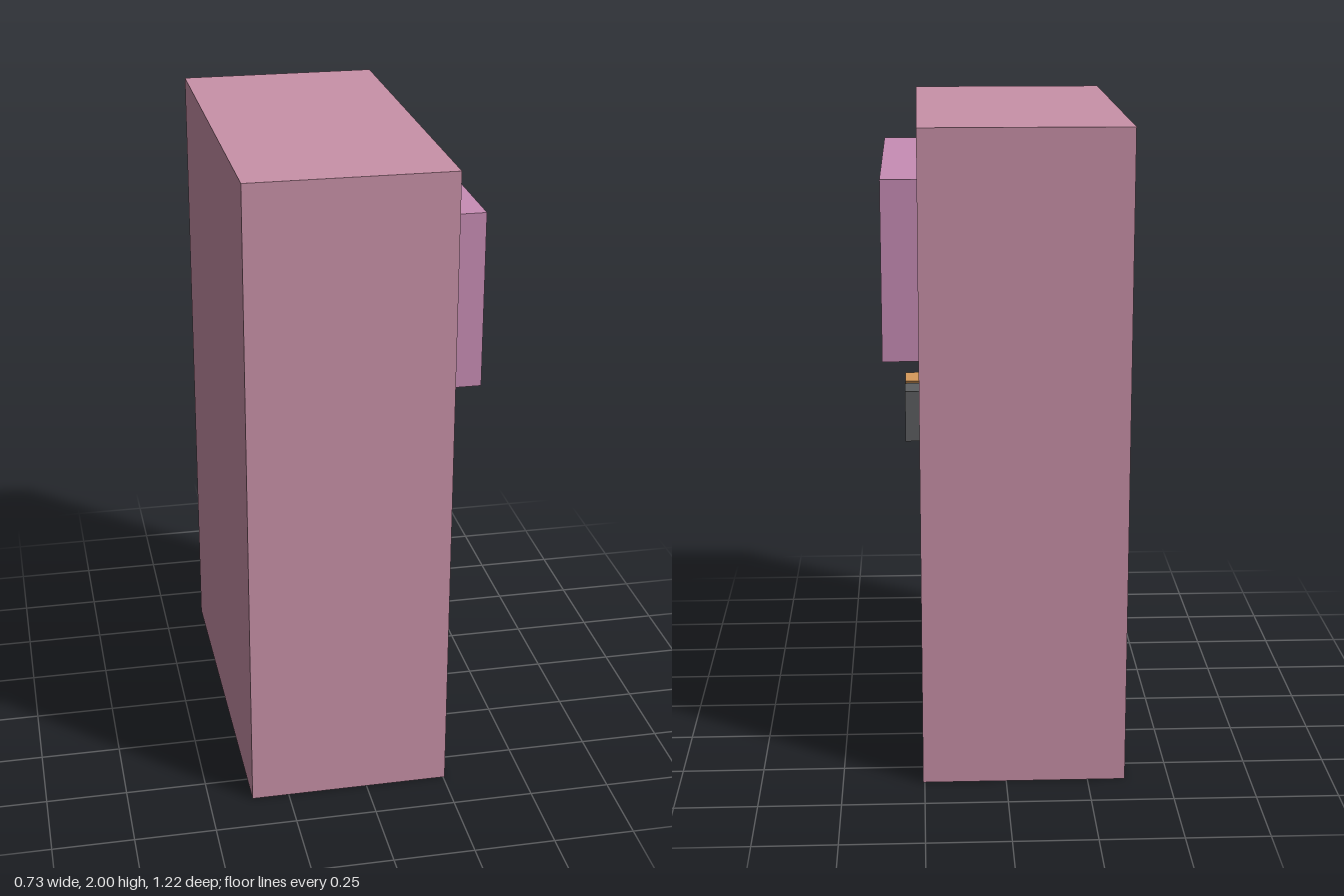
import * as THREE from 'three';

const mat = (color) => new THREE.MeshStandardMaterial({ color, flatShading: true });
const COL = {
  body: mat(0xc991a8), frame: mat(0xc88db5), glass: mat(0x8db5c9),
  flap: mat(0x9bc9c2), gold: mat(0xd79a5b), dark: mat(0x5c5e60),
};
const FACE = 0.255; // x of the cabinet's service face
const BACK = -0.365;

// Closed outline from [u, v] points, where u = -z and v = y
function outline(points, Type = THREE.Shape) {
  return new Type(points.map(([u, v]) => new THREE.Vector2(u, v)));
}
const rect = (u0, v0, u1, v1) => [[u0, v0], [u1, v0], [u1, v1], [u0, v1]];

// Plate facing +x, running from x0 to x1, with optional holes
function plate(name, points, x0, x1, material, holes = []) {
  const shape = outline(points);
  holes.forEach((h) => shape.holes.push(outline(h, THREE.Path)));
  const geo = new THREE.ExtrudeGeometry(shape, { depth: x1 - x0, bevelEnabled: false });
  geo.rotateY(Math.PI / 2).translate(x0, 0, 0);
  const mesh = new THREE.Mesh(geo, material);
  mesh.name = name;
  return mesh;
}

export function createModel() {
  const model = new THREE.Group();
  model.name = 'vendingCabinet';

  // Cabinet: solid core plus a front skin pierced by the dispensing tray
  const inner = FACE - 0.045;
  const side = rect(-0.608, 0, 0.608, 2);
  const tray = rect(-0.327, 0.313, 0.325, 0.562);
  model.add(plate('cabinetCore', side, BACK, inner, COL.body));
  model.add(plate('cabinetFront', side, inner, FACE, COL.body, [tray]));

  // Dispensing tray: flap at the back, sloping floor and small latch
  model.add(plate('trayFlap', rect(-0.327, 0.34, 0.325, 0.562), inner, inner + 0.004, COL.flap));
  const ramp = new THREE.Shape([
    new THREE.Vector2(inner, 0.313), new THREE.Vector2(FACE, 0.313), new THREE.Vector2(inner, 0.34),
  ]);
  const floor = new THREE.Mesh(
    new THREE.ExtrudeGeometry(ramp, { depth: 0.652, bevelEnabled: false }).translate(0, 0, -0.325), COL.body);
  floor.name = 'trayFloor';
  model.add(floor);
  model.add(plate('trayLatch', rect(-0.083, 0.314, -0.04, 0.34), inner, inner + 0.02, COL.flap));

  // Display: deep frame with recessed glass
  const opening = rect(-0.438, 1.332, 0.438, 1.81);
  model.add(plate('displayFrame', rect(-0.5, 1.302, 0.5, 1.84), FACE, 0.362, COL.frame, [opening]));
  model.add(plate('displayGlass', opening, FACE, 0.325, COL.glass));

  // Plain funnel-shaped relief marking the payment area
  model.add(plate('paymentMarker', [
    [0.315, 1.065], [0.335, 1.065], [0.335, 1.135], [0.38, 1.213], [0.27, 1.213], [0.315, 1.135],
  ], FACE, 0.295, COL.gold));

  // Coin box: backing and a face with an upright slot and a return groove
  model.add(plate('coinBoxBack', rect(0.415, 1.063, 0.517, 1.215), FACE, 0.275, COL.dark));
  model.add(plate('coinBoxFace', rect(0.415, 1.063, 0.517, 1.215), 0.275, 0.296, COL.dark, [
    rect(0.46, 1.153, 0.472, 1.197),
    rect(0.418, 1.09, 0.514, 1.1),
  ]));

  return model;
}
